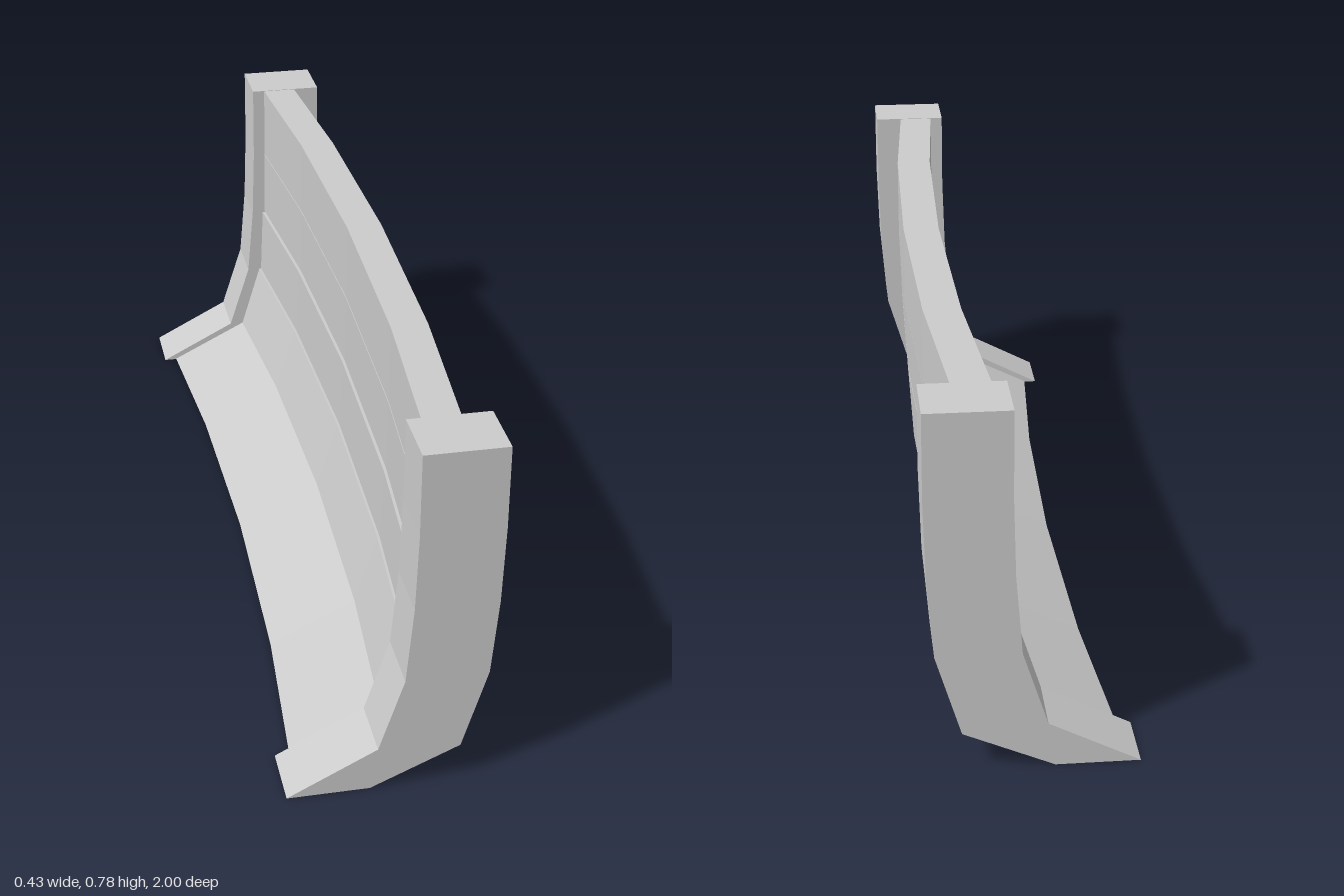
import * as THREE from 'three';

const material = new THREE.MeshStandardMaterial({ color: 0xcccccc, flatShading: true });

// Extrudes an xy outline along z, centred on z = centre, and bows it in x by z
function extrude(name, outline, length, centre, steps = 1, bow = 0) {
  const shape = new THREE.Shape(outline.map(([x, y]) => new THREE.Vector2(x, y)));
  const geometry = new THREE.ExtrudeGeometry(shape, { depth: length, steps, bevelEnabled: false });
  geometry.translate(0, 0, centre - length / 2);
  const p = geometry.attributes.position;
  for (let i = 0; i < p.count; i++) p.setX(i, p.getX(i) - bow * p.getZ(i) ** 2);
  geometry.computeVertexNormals();
  const mesh = new THREE.Mesh(geometry, material);
  mesh.name = name;
  return mesh;
}

export function createModel() {
  const group = new THREE.Group();
  group.name = 'curvedBarrier';

  // Curved end posts with a foot sweeping towards -x
  const postInner = [[-0.215, 0], [-0.028, 0.097], [0.024, 0.26], [0.038, 0.43], [0.043, 0.6], [0.043, 0.78]];
  const postOuter = [[-0.043, 0], [0.143, 0.083], [0.196, 0.26], [0.21, 0.43], [0.215, 0.6], [0.215, 0.78]];
  const postOutline = [...postOuter, ...postInner.slice().reverse()];
  group.add(extrude('frontPost', postOutline, 0.135, 0.9325));
  group.add(extrude('backPost', postOutline, 0.135, -0.9325));

  // Bowed planks stacked between the posts, their ends sunk into them
  const inner = [[-0.145, 0.001], [0.045, 0.097], [0.094, 0.26], [0.105, 0.43], [0.111, 0.6], [0.112, 0.779]];
  const outer = [[-0.062, 0.001], [0.125, 0.084], [0.176, 0.26], [0.187, 0.43], [0.192, 0.6], [0.192, 0.779]];
  const ledge = [0, 0, 0.005, 0.005, 0.001]; // setback of each plank above the one below
  const gap = [0, 0, 0.001, 0.005, 0.001]; // seam under each plank
  for (let i = 0; i < 5; i++) {
    const outline = [
      [outer[i][0], outer[i][1] + gap[i]],
      outer[i + 1],
      inner[i + 1],
      [inner[i][0] + ledge[i], inner[i][1] + gap[i]],
    ];
    group.add(extrude(`plank${i + 1}`, outline, 1.96, 0, 4, 0.05));
  }
  return group;
}
